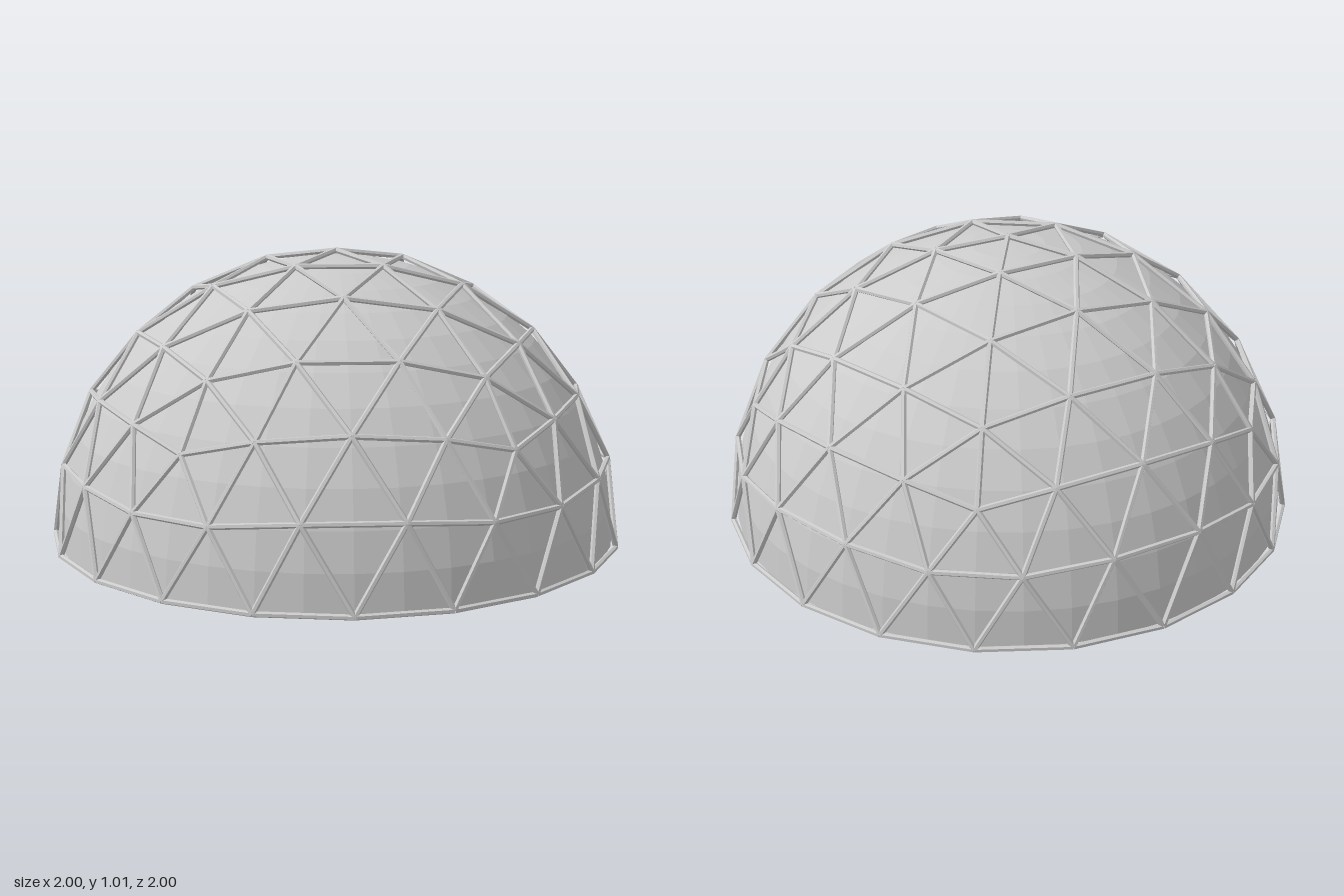
import * as THREE from 'three';
import { mergeGeometries } from 'three/addons/utils/BufferGeometryUtils.js';

const FREQ = 4;        // subdivisions per icosahedron edge
const RADIUS = 0.9905; // hub radius
const STRUT = 0.0095;  // strut radius
const SKIN = 0.9725;   // radius of the covering

// Icosahedron standing on a corner: [top, upper five, lower five]
function icosahedronCorners() {
  const h = 1 / Math.sqrt(5), w = 2 * h;
  const ring = (y, shift) => Array.from({ length: 5 }, (_, i) => {
    const a = (i * 72 + shift) * Math.PI / 180;
    return new THREE.Vector3(w * Math.cos(a), y, w * Math.sin(a));
  });
  return [new THREE.Vector3(0, 1, 0), ...ring(h, 0), ...ring(-h, 36)];
}

// Unique edges of the subdivided sphere on or above the equator
function domeEdges() {
  const c = icosahedronCorners();
  const faces = [];
  for (let i = 0; i < 5; i++) {
    const j = (i + 1) % 5;
    faces.push([0, 1 + i, 1 + j], [6 + i, 1 + i, 1 + j], [1 + j, 6 + i, 6 + j]);
  }
  const edges = new Map();
  const key = p => p.toArray().map(v => Math.round(v * 1000) + 0).join();
  const add = (a, b) => {
    if (a.y < -1e-4 || b.y < -1e-4) return;
    edges.set([key(a), key(b)].sort().join('|'), [a, b]);
  };
  for (const [a, b, d] of faces) {
    const point = (i, j) => c[a].clone().multiplyScalar(FREQ - i - j)
      .addScaledVector(c[b], i).addScaledVector(c[d], j).setLength(RADIUS);
    for (let i = 0; i < FREQ; i++) {
      for (let j = 0; j < FREQ - i; j++) {
        const p = point(i, j), q = point(i + 1, j), r = point(i, j + 1);
        add(p, q);
        add(q, r);
        add(r, p);
      }
    }
  }
  return [...edges.values()];
}

// Six-sided bar with one flat side facing outward
function strutGeometry([a, b]) {
  const along = b.clone().sub(a);
  const length = along.length();
  const mid = a.clone().add(b).multiplyScalar(0.5);
  const out = mid.clone().normalize();
  along.normalize();
  const side = out.clone().cross(along);
  const m = new THREE.Matrix4().makeBasis(out, along, side).setPosition(mid);
  return new THREE.CylinderGeometry(STRUT, STRUT, length, 6).applyMatrix4(m);
}

export function createModel() {
  const model = new THREE.Group();
  model.name = 'geodesicDome';

  // Strut lattice, split into the ground ring and the upper frame
  const edges = domeEdges();
  const onGround = ([a, b]) => Math.abs(a.y) < 1e-4 && Math.abs(b.y) < 1e-4;
  const metal = new THREE.MeshStandardMaterial({ color: 0xcccccc, flatShading: true });
  const addStruts = (name, list) => {
    const mesh = new THREE.Mesh(mergeGeometries(list.map(strutGeometry)), metal);
    mesh.name = name;
    mesh.position.y = STRUT;
    model.add(mesh);
  };
  addStruts('frameStruts', edges.filter(e => !onGround(e)));
  addStruts('baseRing', edges.filter(onGround));

  // Covering inside the frame, open underneath
  const skin = new THREE.Mesh(
    new THREE.SphereGeometry(SKIN, 40, 12, 0, Math.PI * 2, 0, Math.PI / 2),
    new THREE.MeshStandardMaterial({ color: 0xcccccc, flatShading: true, side: THREE.DoubleSide })
  );
  skin.name = 'skin';
  skin.position.y = STRUT;
  model.add(skin);

  return model;
}
